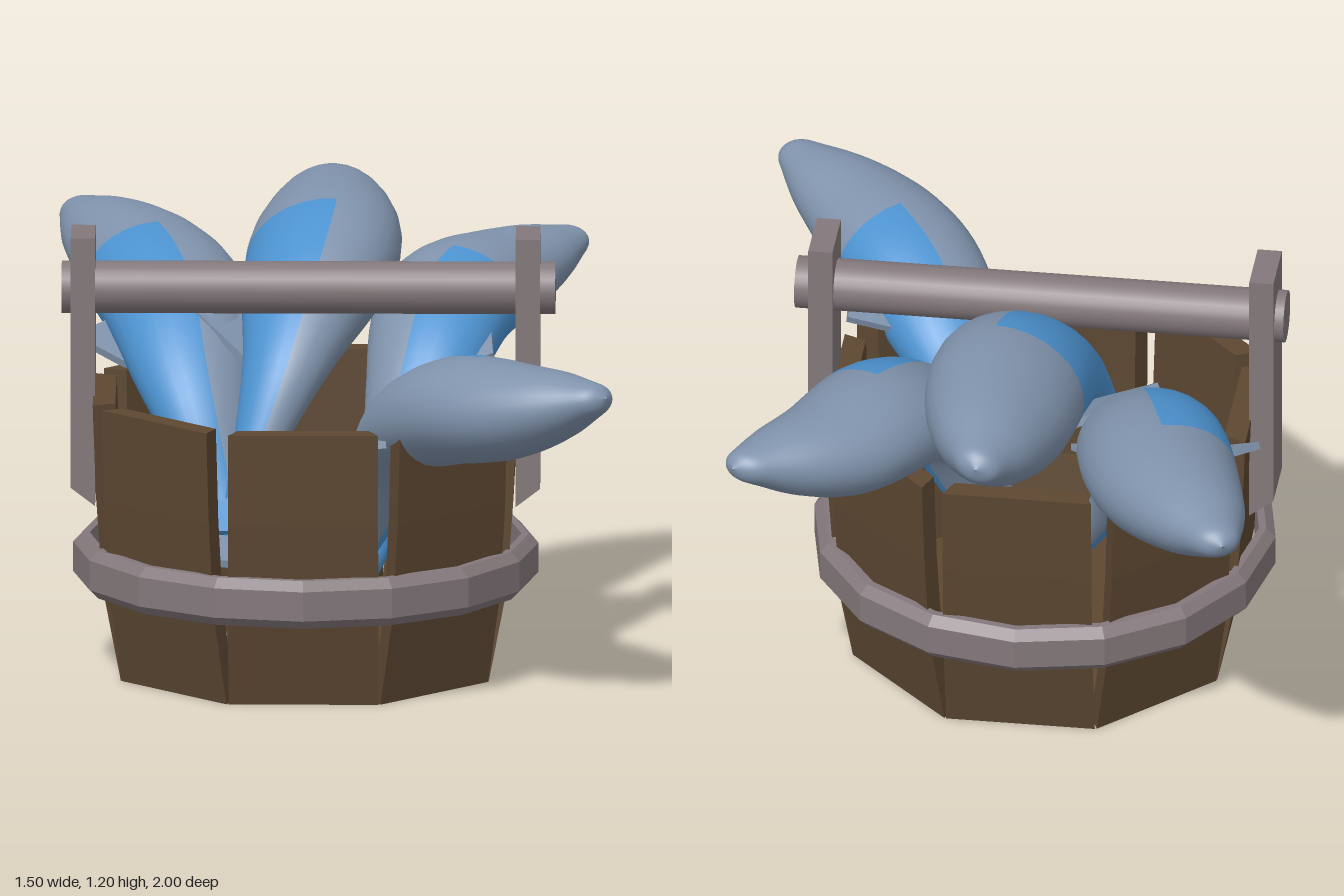
import * as THREE from 'three';
import { ConvexGeometry } from 'three/addons/geometries/ConvexGeometry.js';

const V = (p) => new THREE.Vector3(...p);

function material(name, color) {
  const m = new THREE.MeshStandardMaterial({ color });
  m.name = name;
  return m;
}

function flat(geometry) {
  const g = geometry.index ? geometry.toNonIndexed() : geometry;
  g.computeVertexNormals();
  return g;
}

function add(parent, name, geometry, mat) {
  const mesh = new THREE.Mesh(geometry, mat);
  mesh.name = name;
  parent.add(mesh);
  return mesh;
}

// Curved stave: a box whose rows lean outward and whose inner face is narrower
function staveGeometry() {
  const g = new THREE.BoxGeometry(0.4, 0.75, 0.06, 1, 3, 1);
  const apothem = [0.49, 0.538, 0.556, 0.565];
  const p = g.attributes.position;
  for (let i = 0; i < p.count; i++) {
    const inner = p.getZ(i) < 0;
    const row = Math.round((p.getY(i) + 0.375) / 0.25);
    p.setXYZ(i, p.getX(i) * (inner ? 0.875 : 1), row * 0.25, apothem[row] - (inner ? 0.06 : 0));
  }
  return flat(g);
}

// Floor plank running front to back, clipped to the octagon
function plankGeometry(xs) {
  const half = (x) => Math.min(0.44, 0.622 - Math.abs(x));
  const pts = [
    ...xs.map((x) => new THREE.Vector2(x, -half(x))),
    ...[...xs].reverse().map((x) => new THREE.Vector2(x, half(x))),
  ];
  const g = new THREE.ExtrudeGeometry(new THREE.Shape(pts), { depth: 0.04, bevelEnabled: false });
  return g.rotateX(Math.PI / 2).translate(0, 0.07, 0);
}

// Upright whose lower end is cut at a slant; side is -1 or 1
function postGeometry(side) {
  const g = new THREE.BoxGeometry(0.065, 0.73, 0.17);
  const p = g.attributes.position;
  for (let i = 0; i < p.count; i++) {
    if (p.getY(i) < 0 && p.getX(i) * side > 0) p.setY(i, p.getY(i) + 0.05);
  }
  return flat(g.translate(side * 0.5925, 0.815, 0));
}

// Thin fin from its outline corners
function finGeometry(corners, thickness = 0.01) {
  const n = new THREE.Plane().setFromCoplanarPoints(...corners.slice(0, 3)).normal;
  return new ConvexGeometry(corners.flatMap((p) => [1, -1].map((s) => p.clone().addScaledVector(n, s * thickness))));
}

// Body thickness from tail to nose: (position along body, radius)
const PROFILE = new THREE.SplineCurve(
  [[0, 0.03], [0.15, 0.065], [0.32, 0.12], [0.48, 0.178], [0.62, 0.2], [0.75, 0.186],
    [0.87, 0.138], [0.95, 0.08], [0.985, 0.048], [1, 0.002]].map(([u, r]) => new THREE.Vector2(u, r)),
).getPoints(54);

// roll tilts the cross-section; the blue patch covers one flank up to patchEnd
function makeFish({ name, path, width, height, roll = 0, patchEnd, patchSide }, mats) {
  const fish = new THREE.Group();
  fish.name = name;
  const curve = new THREE.CatmullRomCurve3(path.map(V));
  const around = 28;
  const heading = V(path.at(-1)).sub(V(path[2])).setY(0).normalize();
  const side = heading.clone().cross(new THREE.Vector3(0, 1, 0));
  const tilt = THREE.MathUtils.degToRad(roll);
  const positions = [];
  for (const { x, y: r } of PROFILE) {
    const u = Math.min(Math.max(x, 0), 1);
    const c = curve.getPointAt(u);
    const up = side.clone().cross(curve.getTangentAt(u)).normalize();
    for (let j = 0; j < around; j++) {
      const a = (j / around) * Math.PI * 2;
      const s = Math.cos(a) * r * width;
      const t = Math.sin(a) * r * height;
      const v = c.clone()
        .addScaledVector(side, s * Math.cos(tilt) - t * Math.sin(tilt))
        .addScaledVector(up, s * Math.sin(tilt) + t * Math.cos(tilt));
      positions.push(v.x, v.y, v.z);
    }
  }
  // Faces of the blue flank go in their own group
  const skin = [];
  const flank = [];
  const patchStart = (patchSide === 'left' ? 85 : -95) - roll;
  for (let i = 0; i < PROFILE.length - 1; i++) {
    for (let j = 0; j < around; j++) {
      const k = (j + 1) % around;
      const deg = ((j + 0.5) / around) * 360;
      const inside = (deg - patchStart + 720) % 360 < 190;
      const list = inside && PROFILE[i].x < patchEnd ? flank : skin;
      const a = i * around + j, b = i * around + k;
      list.push(a, a + around, b, b, a + around, b + around);
    }
  }
  const g = new THREE.BufferGeometry();
  g.setAttribute('position', new THREE.Float32BufferAttribute(positions, 3));
  g.setIndex([...skin, ...flank]);
  g.addGroup(0, skin.length, 0);
  g.addGroup(skin.length, flank.length, 1);
  g.computeVertexNormals();
  add(fish, 'body', g, mats);

  // Two-lobed tail fin
  const root = curve.getPointAt(0.08);
  for (const s of [-1, 1]) {
    const tip = curve.getPointAt(0).addScaledVector(side, s * 0.14).addScaledVector(heading, -0.08);
    const notch = curve.getPointAt(0).addScaledVector(heading, -0.04);
    add(fish, 'tailFin', finGeometry([root, tip, notch]), mats[1]);
  }
  return fish;
}

const FISH = [
  {
    name: 'frontFish', width: 0.92, height: 0.72, patchEnd: 0.68, patchSide: 'left',
    path: [[-0.02, 0.16, 0.2], [0.1, 0.42, 0.22], [0.17, 0.66, 0.35], [0.31, 0.79, 0.57], [0.5, 0.845, 0.8], [0.73, 0.92, 0.985]],
  },
  {
    name: 'middleFish', width: 1.06, height: 0.84, roll: 18, patchEnd: 0.62, patchSide: 'left',
    path: [[-0.27, 0.42, 0.36], [-0.23, 0.55, 0.28], [-0.13, 0.81, 0.12], [-0.05, 0.99, -0.2], [-0.03, 1.045, -0.53], [-0.03, 1.11, -0.88]],
  },
  {
    name: 'rightFish', width: 1.02, height: 0.78, patchEnd: 0.7, patchSide: 'left',
    path: [[-0.15, 0.15, 0.3], [-0.29, 0.45, 0.15], [-0.36, 0.68, 0], [-0.42, 0.86, -0.3], [-0.52, 0.93, -0.62], [-0.71, 1, -1]],
  },
  {
    name: 'leftFish', width: 0.98, height: 0.72, patchEnd: 0.66, patchSide: 'right',
    path: [[0.03, 0.15, 0.18], [0.14, 0.45, 0.12], [0.21, 0.71, 0.01], [0.29, 0.885, -0.28], [0.42, 0.92, -0.53], [0.64, 0.98, -0.75]],
  },
];

// Outlines of the grey fins
const FINS = {
  frontFishLeftFin: [[0.25, 0.72, 0.38], [0.48, 0.79, 0.34], [0.49, 0.84, 0.52], [0.38, 0.82, 0.52]],
  frontFishRightFin: [[0.06, 0.66, 0.38], [-0.04, 0.68, 0.54], [0, 0.7, 0.62], [0.14, 0.71, 0.62]],
  middleFishFin: [[-0.2, 0.9, -0.3], [-0.42, 0.94, -0.12], [-0.18, 0.75, 0.05]],
  rightFishFin: [[-0.54, 0.86, -0.38], [-0.7, 0.82, -0.19], [-0.48, 0.72, -0.1]],
  leftFishFin: [[0.3, 0.86, -0.17], [0.41, 0.88, -0.15], [0.42, 0.82, 0.02], [0.25, 0.75, 0.05]],
  looseTailFin: [[-0.55, 0.4, 0.33], [-0.36, 0.36, 0.49], [-0.1, 0.34, 0.5], [-0.35, 0.4, 0.28]],
};

export function createModel() {
  const wood = material('wood', 0x5c4731);
  const metal = material('greyMetal', 0x83787b);
  const skin = material('greySkin', 0x8093ac);
  const blue = material('blueFlank', 0x4c92cf);

  const model = new THREE.Group();
  model.name = 'fishBucket';
  const bucket = new THREE.Group();
  bucket.name = 'bucket';
  bucket.position.set(-0.08, 0, 0.13);
  model.add(bucket);

  // Eight staves and the plank floor
  const stave = staveGeometry();
  for (let i = 0; i < 8; i++) add(bucket, 'stave', stave, wood).rotation.y = (i * Math.PI) / 4;
  for (const s of [-1, 1]) {
    for (const xs of [[0.005, 0.18, 0.21], [0.22, 0.43]]) {
      const row = s > 0 ? xs : xs.map((x) => -x).reverse();
      add(bucket, 'floorPlank', plankGeometry(row), wood);
    }
  }

  // Bevelled hoop
  const section = [[0.575, 0.23], [0.595, 0.23], [0.62, 0.255], [0.62, 0.335], [0.595, 0.36], [0.575, 0.36], [0.575, 0.23]];
  const hoop = new THREE.LatheGeometry(section.map(([r, y]) => new THREE.Vector2(r, y)), 16);
  add(bucket, 'hoop', flat(hoop), metal);

  // Handle posts and bar
  for (const s of [-1, 1]) add(bucket, 'handlePost', postGeometry(s), metal);
  const bar = new THREE.CylinderGeometry(0.07, 0.07, 1.315, 24).rotateZ(Math.PI / 2);
  add(bucket, 'handleBar', bar, metal).position.set(0.008, 1.03, 0);

  // Fish and fins
  FISH.forEach((f) => model.add(makeFish(f, [skin, blue])));
  for (const [name, corners] of Object.entries(FINS)) add(model, name, finGeometry(corners.map(V)), skin);
  return model;
}
